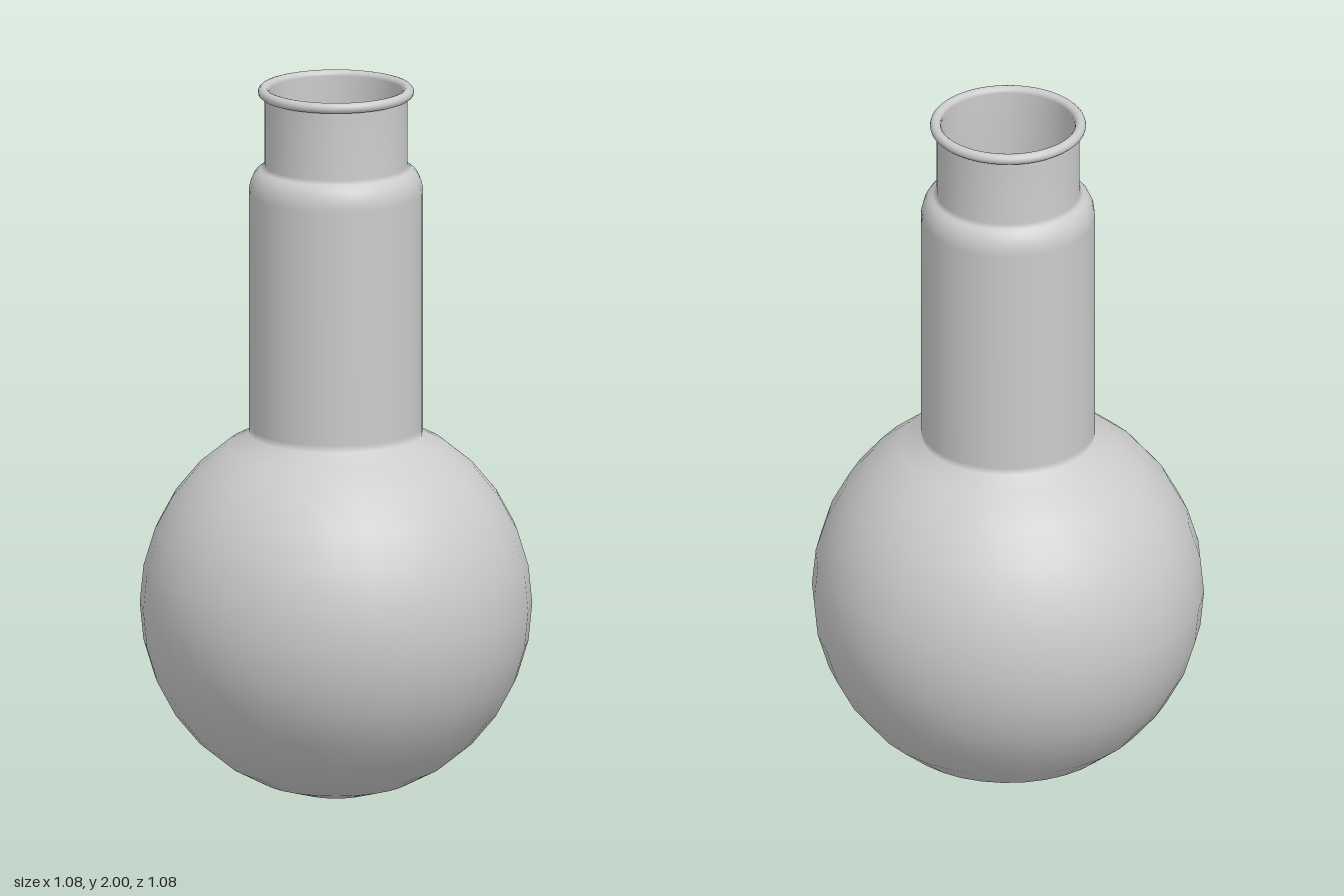
import * as THREE from 'three';

const SIDES = 32;
const BULB_RADIUS = 0.54;
const WALL = 0.012;

// Profile of the flask from the bottom pole up to the mouth, inset by the wall thickness
function flaskProfile(inset) {
  const points = [];
  const r = BULB_RADIUS - inset;
  // Round bulb
  for (let i = 0; i <= 13; i++) {
    const a = (i / 16) * Math.PI;
    points.push(new THREE.Vector2(r * Math.sin(a), BULB_RADIUS - r * Math.cos(a)));
  }
  // Straight wide neck
  points.push(new THREE.Vector2(0.24 - inset, 1.02));
  points.push(new THREE.Vector2(0.24 - inset, 1.04));
  // Rounded shoulder
  for (let i = 0; i <= 5; i++) {
    const a = (i / 5) * Math.PI * 0.42;
    points.push(new THREE.Vector2(0.197 - inset + 0.043 * Math.cos(a), 1.7 + 0.072 * Math.sin(a)));
  }
  // Narrow collar
  points.push(new THREE.Vector2(0.197 - inset, 1.78));
  points.push(new THREE.Vector2(0.197 - inset, 1.985));
  return points;
}

export function createModel() {
  const group = new THREE.Group();
  group.name = 'roundFlask';
  const material = new THREE.MeshStandardMaterial({ color: 0xcccccc, side: THREE.DoubleSide });

  const add = (name, geometry) => {
    const mesh = new THREE.Mesh(geometry, material);
    mesh.name = name;
    group.add(mesh);
    return mesh;
  };

  // Outer and inner walls; the inner profile runs downward so it faces the cavity
  add('outerWall', new THREE.LatheGeometry(flaskProfile(0), SIDES));
  add('innerWall', new THREE.LatheGeometry(flaskProfile(WALL).reverse(), SIDES));

  // Rolled lip around the mouth
  const lip = add('rolledLip', new THREE.TorusGeometry(0.2, 0.015, 12, 48));
  lip.rotation.x = Math.PI / 2;
  lip.position.y = 1.985;

  return group;
}
